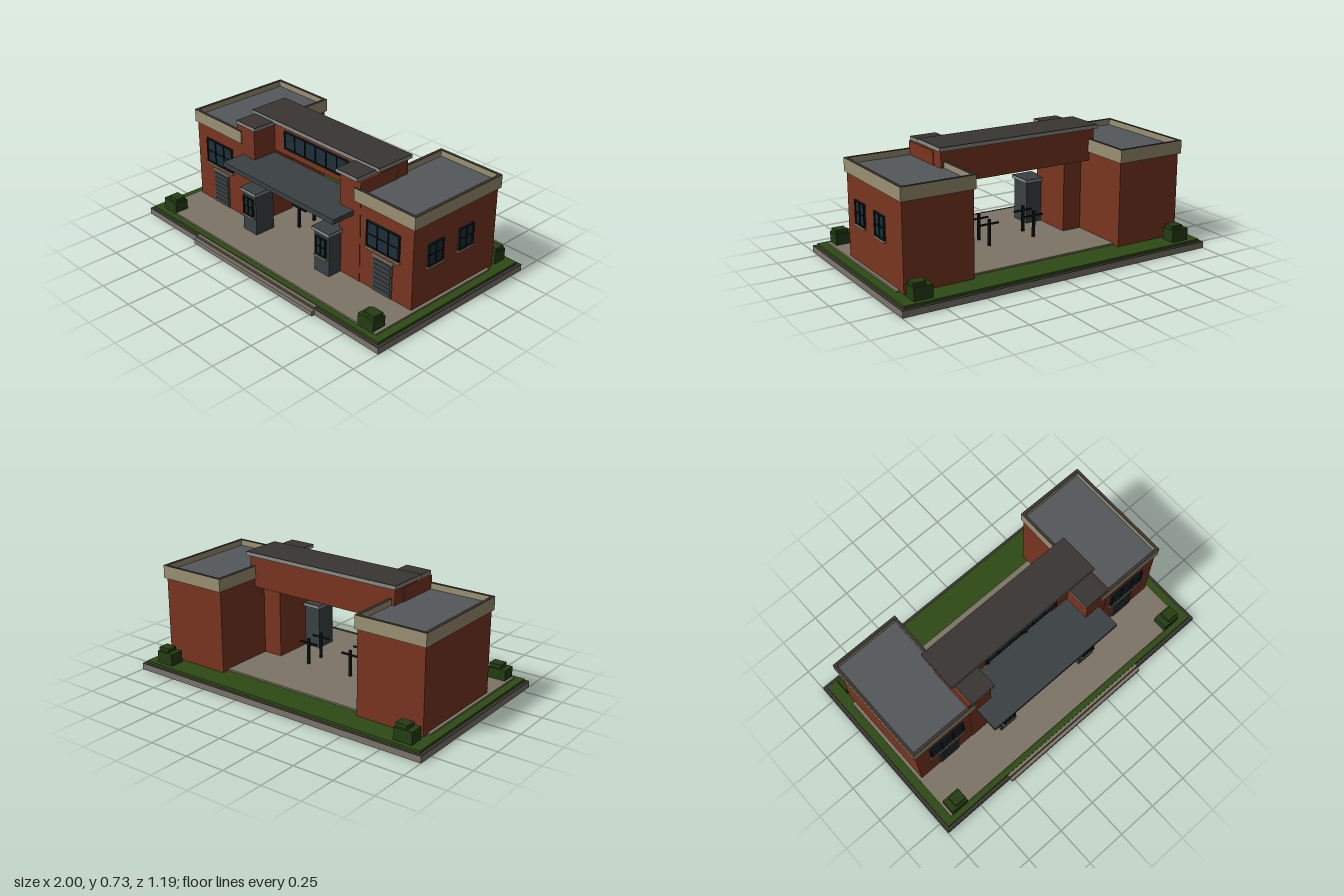
import * as THREE from 'three';

const mat = (color) => new THREE.MeshStandardMaterial({ color });
const M = {
  brick: mat(0x7a3520), stone: mat(0x9a9072), slate: mat(0x54585a), paving: mat(0x7d7466),
  curb: mat(0x7b766b), grass: mat(0x2f4a15), bush: mat(0x243d12), glass: mat(0x1b2e38),
  frame: mat(0x0e1517), metal: mat(0x3a4143), door: mat(0x474a49), trim: mat(0x858c86), dark: mat(0x383532),
};

// Box given by its extents along each axis
function box(parent, name, material, [x0, x1], [y0, y1], [z0, z1]) {
  const mesh = new THREE.Mesh(new THREE.BoxGeometry(x1 - x0, y1 - y0, z1 - z0), material);
  mesh.position.set((x0 + x1) / 2, (y0 + y1) / 2, (z0 + z1) / 2);
  mesh.name = name;
  parent.add(mesh);
  return mesh;
}

// Slab with pale sides and a thin covering on top
function slab(parent, name, side, top, x, [y0, y1], z) {
  box(parent, name, side, x, [y0, y1 - 0.003], z);
  box(parent, name + 'Top', top, x, [y1 - 0.003, y1], z);
}

// Rectangular ring standing on y0
function ring(parent, name, material, [x0, x1], [y0, y1], [z0, z1], t) {
  const rect = (Type, a, b, c, d) => new Type().setFromPoints(
    [[a, c], [b, c], [b, d], [a, d]].map(([x, y]) => new THREE.Vector2(x, y)));
  const shape = rect(THREE.Shape, x0, x1, -z1, -z0);
  shape.holes.push(rect(THREE.Path, x0 + t, x1 - t, -z1 + t, -z0 - t));
  const geometry = new THREE.ExtrudeGeometry(shape, { depth: y1 - y0, bevelEnabled: false });
  const mesh = new THREE.Mesh(geometry.rotateX(-Math.PI / 2), material);
  mesh.position.y = y0;
  mesh.name = name;
  parent.add(mesh);
}

// Window facing +z, centred on its own origin
function makeWindow(name, w, h, cols, rows, sill = true) {
  const g = new THREE.Group();
  g.name = name;
  const b = 0.008;
  box(g, 'glass', M.glass, [-w / 2, w / 2], [-h / 2, h / 2], [-0.005, 0.003]);
  for (let i = 0; i <= cols; i++) {
    const t = i % cols ? b / 2 : b, x = -w / 2 + t / 2 + (w - t) * i / cols;
    box(g, 'mullion', M.frame, [x - t / 2, x + t / 2], [-h / 2, h / 2], [-0.005, 0.01]);
  }
  for (let i = 0; i <= rows; i++) {
    const t = i % rows ? b / 2 : b, y = -h / 2 + t / 2 + (h - t) * i / rows;
    box(g, 'glazingBar', M.frame, [-w / 2, w / 2], [y - t / 2, y + t / 2], [-0.005, 0.009]);
  }
  if (sill) box(g, 'sill', M.stone, [-w / 2 - 0.006, w / 2 + 0.006], [-h / 2 - 0.01, -h / 2], [-0.005, 0.013]);
  return g;
}

function place(parent, object, x, y, z, turn = 0) {
  object.position.set(x, y, z);
  object.rotation.y = turn;
  parent.add(object);
}

// One half of the building, drawn on the +x side
function makeSide(name) {
  const g = new THREE.Group();
  g.name = name;

  // Brick wing with its parapet and sunken roof
  box(g, 'wingWall', M.brick, [0.485, 0.91], [0.055, 0.57], [-0.435, 0.235]);
  box(g, 'wingRoof', M.slate, [0.49, 0.905], [0.57, 0.605], [-0.435, 0.23]);
  ring(g, 'parapet', M.stone, [0.477, 0.922], [0.562, 0.639], [-0.45, 0.245], 0.018);
  ring(g, 'parapetCoping', M.dark, [0.477, 0.922], [0.639, 0.642], [-0.45, 0.245], 0.018);

  // Front window and slatted door
  place(g, makeWindow('frontWindow', 0.245, 0.16, 3, 2), 0.695, 0.405, 0.237);
  box(g, 'door', M.door, [0.622, 0.766], [0.065, 0.28], [0.23, 0.239]);
  for (let i = 0; i < 7; i++) {
    const y = 0.075 + i * 0.029;
    box(g, 'doorSlat', M.metal, [0.632, 0.756], [y, y + 0.02], [0.235, 0.243]);
  }
  box(g, 'doorLintel', M.trim, [0.615, 0.773], [0.28, 0.291], [0.23, 0.246]);

  // Pier beside the gateway
  box(g, 'pier', M.brick, [0.362, 0.52], [0.055, 0.686], [-0.05, 0.238]);
  slab(g, 'pierCap', M.trim, M.dark, [0.34, 0.505], [0.686, 0.708], [-0.065, 0.25]);

  // Ticket booth
  box(g, 'booth', M.metal, [0.255, 0.372], [0.065, 0.325], [0.195, 0.33]);
  slab(g, 'boothRoof', M.trim, M.metal, [0.243, 0.385], [0.325, 0.346], [0.18, 0.341]);
  place(g, makeWindow('boothWindow', 0.088, 0.12, 2, 2), 0.314, 0.24, 0.334);

  // Turnstiles
  for (const z of [0.08, -0.04]) {
    box(g, 'turnstilePost', M.frame, [0.146, 0.161], [0.06, 0.226], [z - 0.0075, z + 0.0075]);
    box(g, 'turnstileArm', M.frame, [0.091, 0.216], [0.192, 0.202], [z - 0.005, z + 0.005]);
  }
  return g;
}

// Reflects a side across x = 0; every part is symmetric about its own origin except the ring
function mirrorX(g) {
  for (const child of g.children) {
    child.position.x *= -1;
    if (child.geometry?.type === 'ExtrudeGeometry') child.geometry.rotateY(Math.PI).translate(0, 0, -0.205);
  }
  return g;
}

export function createModel() {
  const model = new THREE.Group();
  model.name = 'gatehouse';

  // Ground
  slab(model, 'base', M.curb, M.dark, [-1, 1], [0, 0.04], [-0.595, 0.575]);
  slab(model, 'frontStep', M.curb, M.paving, [-0.52, 0.52], [0, 0.03], [0.575, 0.595]);
  box(model, 'threshold', M.paving, [-0.52, 0.52], [0.035, 0.05], [0.55, 0.572]);
  box(model, 'lawn', M.grass, [-0.98, 0.98], [0.035, 0.055], [-0.575, 0.555]);
  box(model, 'plaza', M.paving, [-0.93, 0.93], [0.05, 0.065], [-0.39, 0.52]);

  // Matching halves
  model.add(makeSide('leftSide'), mirrorX(makeSide('rightSide')));

  // Side windows, on the left wall only
  for (const z of [0.065, -0.18]) {
    place(model, makeWindow('sideWindow', 0.12, 0.138, 2, 2), 0.912, 0.36, z, Math.PI / 2);
  }

  // Bridge over the gateway
  box(model, 'bridgeWall', M.brick, [-0.515, 0.515], [0.51, 0.702], [-0.132, 0.08]);
  slab(model, 'bridgeRoof', M.trim, M.dark, [-0.53, 0.53], [0.702, 0.726], [-0.148, 0.11]);
  place(model, makeWindow('bridgeWindow', 0.535, 0.115, 6, 1, false), 0, 0.61, 0.082);
  box(model, 'canopy', M.metal, [-0.468, 0.468], [0.465, 0.495], [0.08, 0.39]);

  // Clipped bushes at the corners
  for (const x of [-0.857, 0.853]) {
    for (const z of [0.477, -0.505]) {
      box(model, 'bush', M.bush, [x - 0.057, x + 0.057], [0.055, 0.129], [z - 0.044, z + 0.044]);
      box(model, 'bushTop', M.bush, [x - 0.022, x + 0.053], [0.129, 0.152], [z - 0.032, z + 0.032]);
    }
  }
  return model;
}
